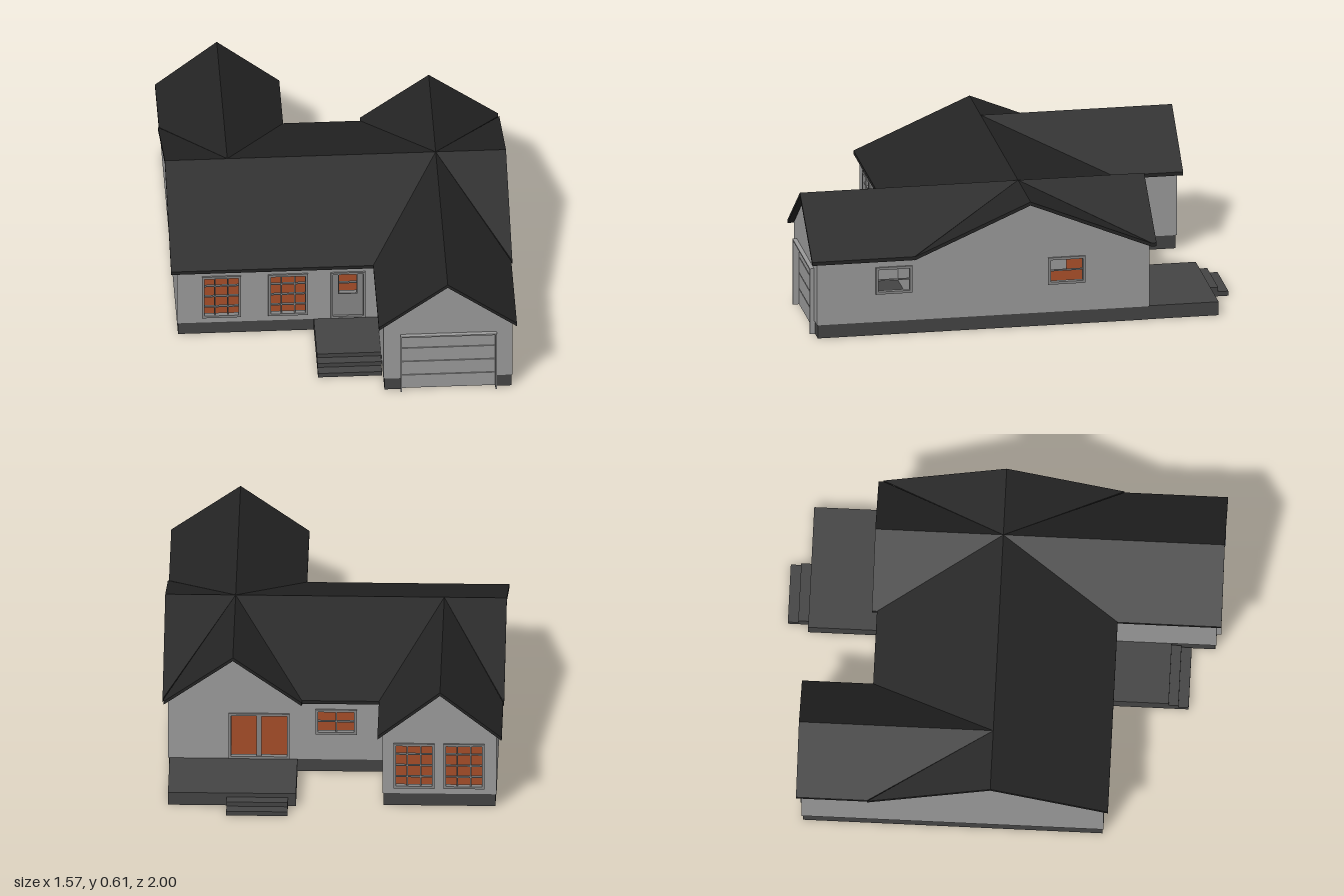
import * as THREE from 'three';

const mat = (name, color) => Object.assign(new THREE.MeshStandardMaterial({ color }), { name });

export function createModel() {
  const house = new THREE.Group();
  house.name = 'house';
  const wallMat = mat('wall grey', 0x9a9a9a);
  const trimMat = mat('trim grey', 0x868686);
  const baseMat = mat('foundation grey', 0x444444);
  const roofMat = mat('roof charcoal', 0x242424);
  const floorMat = mat('floor brown', 0x8f4222);

  // Box given by its limits on each axis
  function box(parent, name, m, x0, x1, y0, y1, z0, z1) {
    const mesh = new THREE.Mesh(new THREE.BoxGeometry(x1 - x0, y1 - y0, z1 - z0), m);
    mesh.position.set((x0 + x1) / 2, (y0 + y1) / 2, (z0 + z1) / 2);
    mesh.name = name;
    parent.add(mesh);
  }

  const rect = (Kind, [u0, u1, y0, y1]) => new Kind(
    [[u0, y0], [u1, y0], [u1, y1], [u0, y1]].map(p => new THREE.Vector2(...p)));

  // Frame with bars dividing it into columns and rows
  function frame(parent, name, [u0, u1, y0, y1], d, cols, rows, border = 0.012, bar = 0.006) {
    const g = new THREE.Group();
    g.name = name;
    const z0 = d - 0.015, z1 = d + 0.008;
    box(g, 'leftJamb', trimMat, u0, u0 + border, y0, y1, z0, z1);
    box(g, 'rightJamb', trimMat, u1 - border, u1, y0, y1, z0, z1);
    box(g, 'head', trimMat, u0 + border, u1 - border, y1 - border, y1, z0, z1);
    box(g, 'sill', trimMat, u0 + border, u1 - border, y0, y0 + border, z0, z1);
    for (let i = 1; i < cols; i++) {
      const u = u0 + (u1 - u0) * i / cols;
      box(g, 'uprightBar', trimMat, u - bar / 2, u + bar / 2, y0 + border, y1 - border, d - 0.01, d + 0.002);
    }
    for (let i = 1; i < rows; i++) {
      const y = y0 + (y1 - y0) * i / rows;
      box(g, 'crossBar', trimMat, u0 + border, u1 - border, y - bar / 2, y + bar / 2, d - 0.01, d + 0.001);
    }
    parent.add(g);
  }

  // Wall facing a direction, d away from the centre, with openings cut through
  const T = 0.014;
  function facade(name, angle, d, outline, openings = []) {
    const g = new THREE.Group();
    g.name = name;
    g.rotation.y = angle;
    const shape = new THREE.Shape(outline.map(p => new THREE.Vector2(...p)));
    shape.holes = openings.map(o => rect(THREE.Path, o));
    const mesh = new THREE.Mesh(new THREE.ExtrudeGeometry(shape, { depth: T, bevelEnabled: false }), wallMat);
    mesh.position.z = d - T;
    mesh.name = name + 'Surface';
    g.add(mesh);
    house.add(g);
    return g;
  }

  const B = 0.065, E = 0.37, P = 0.592; // wall base, eaves, gable peak
  const FRONT = 0, BACK = Math.PI, RIGHT = Math.PI / 2, LEFT = -Math.PI / 2;
  const flat = (a, b) => [[a, B], [b, B], [b, E], [a, E]];

  // Main front wall with two large windows and the entrance
  const big = [[-0.645, -0.465, 0.095, 0.33], [-0.34, -0.157, 0.095, 0.33]];
  const entry = [-0.052, 0.108, 0.07, 0.33];
  const front = facade('frontWall', FRONT, 0.5, flat(-0.76, 0.165), [...big, entry]);
  big.forEach(o => frame(front, 'frontWindow', o, 0.5, 3, 4));
  frame(front, 'doorFrame', entry, 0.5, 1, 1, 0.01);
  const light = [-0.018, 0.072, 0.205, 0.322];
  const leaf = rect(THREE.Shape, [-0.042, 0.098, 0.075, 0.325]);
  leaf.holes = [rect(THREE.Path, light)];
  const door = new THREE.Mesh(new THREE.ExtrudeGeometry(leaf, { depth: 0.01, bevelEnabled: false }), trimMat);
  door.position.z = 0.487;
  door.name = 'frontDoor';
  front.add(door);
  frame(front, 'doorWindow', light, 0.495, 1, 2, 0.005);

  // Garage gable and sectional door
  const gd = 0.975;
  const garage = facade('garageWall', FRONT, gd, [
    [0.165, B], [0.25, B], [0.25, 0.31], [0.68, 0.31], [0.68, B], [0.76, B], [0.76, E], [0.46, P], [0.165, E]]);
  for (let i = 0; i < 4; i++)
    box(garage, 'garageDoorPanel', wallMat, 0.25, 0.68, 0.003 + i * 0.077, 0.076 + i * 0.077, gd - 0.018, gd - 0.008);
  box(garage, 'garageDoorBacking', trimMat, 0.25, 0.68, 0, 0.31, gd - 0.022, gd - 0.014);
  for (const x of [0.243, 0.68])
    box(garage, 'garageJamb', wallMat, x, x + 0.007, 0, 0.317, gd - 0.015, gd + 0.02);
  box(garage, 'garageHead', wallMat, 0.243, 0.687, 0.31, 0.317, gd - 0.015, gd + 0.02);
  facade('garageInnerWall', LEFT, -0.165, flat(0.49, 0.97));

  // Side walls, gabled over the main ridge
  const small = [[-0.7, -0.53, 0.2, 0.33], [0.105, 0.28, 0.2, 0.33]];
  const right = facade('sideWallEast', RIGHT, 0.76,
    [[-0.975, B], [0.58, B], [0.58, E], [0.02, P], [-0.5, E], [-0.975, E]], small);
  small.forEach(o => frame(right, 'sideWindow', o, 0.76, 1, 2));
  facade('sideWallWest', LEFT, 0.76,
    [[-0.89, B], [0.5, B], [0.5, E], [-0.02, P], [-0.58, E], [-0.89, E]]);

  // Rear walls (u runs along -x)
  const patio = [-0.48, -0.2, 0.068, 0.305];
  const rear = facade('patioGable', BACK, 0.58,
    [[-0.76, B], [-0.165, B], [-0.165, E], [-0.46, P], [-0.76, E]], [patio]);
  frame(rear, 'patioDoors', patio, 0.58, 2, 1, 0.012, 0.022);
  const kitchen = [-0.08, 0.11, 0.2, 0.33];
  const middle = facade('rearWall', BACK, 0.58, flat(-0.165, 0.235), [kitchen]);
  frame(middle, 'rearWindow', kitchen, 0.58, 2, 2);
  const wingWindows = [[0.285, 0.475, 0.095, 0.33], [0.515, 0.705, 0.095, 0.33]];
  const wing = facade('rearWingGable', BACK, 0.89,
    [[0.235, B], [0.76, B], [0.76, E], [0.5, P], [0.235, E]], wingWindows);
  wingWindows.forEach(o => frame(wing, 'rearWingWindow', o, 0.89, 3, 4));
  facade('rearWingInnerWall', RIGHT, -0.235, flat(0.57, 0.89));

  // Partitions inside
  box(house, 'bedroomPartition', wallMat, -0.745, -0.35, B, 0.36, -0.11, -0.1);
  box(house, 'hallPartition', wallMat, 0.16, 0.17, B, 0.36, -0.3, 0.5);
  box(house, 'garagePartition', wallMat, 0.17, 0.745, B, 0.36, 0.48, 0.49);

  // Foundation and floors
  box(house, 'mainFoundation', baseMat, -0.755, 0.755, 0, B, -0.575, 0.495);
  box(house, 'rearWingFoundation', baseMat, -0.755, -0.24, 0, B, -0.885, -0.575);
  box(house, 'garageFoundation', baseMat, 0.17, 0.755, 0, B, 0.495, 0.95);
  box(house, 'garageFooting', baseMat, 0.17, 0.243, 0, B, 0.95, 0.97);
  box(house, 'garageFooting', baseMat, 0.687, 0.755, 0, B, 0.95, 0.97);
  box(house, 'mainFloor', floorMat, -0.745, 0.745, B, B + 0.003, -0.565, 0.485);
  box(house, 'rearWingFloor', floorMat, -0.745, -0.25, B, B + 0.003, -0.875, -0.565);

  // Porch, rear deck and their steps
  box(house, 'porch', baseMat, -0.13, 0.17, 0, B, 0.495, 0.77);
  box(house, 'porchStep', baseMat, -0.13, 0.165, 0, 0.044, 0.77, 0.815);
  box(house, 'porchStep', baseMat, -0.13, 0.165, 0, 0.022, 0.815, 0.862);
  box(house, 'deck', baseMat, 0.163, 0.752, 0, B, -0.905, -0.575);
  box(house, 'deckStep', baseMat, 0.2, 0.482, 0, 0.044, -0.952, -0.905);
  box(house, 'deckStep', baseMat, 0.2, 0.482, 0, 0.022, -1, -0.952);

  // Roof slope: outline of [x, z] ridge points followed by eave points
  function slope(name, ridge, eave) {
    const at = (y) => ([x, z]) => new THREE.Vector3(x, y, z);
    let top = [...ridge.map(at(0.612)), ...eave.map(at(0.378))];
    const n = top[1].clone().sub(top[0]).cross(top[2].clone().sub(top[0]));
    if (n.y < 0) top = top.reverse();
    const low = top.map(p => p.clone().setY(p.y - 0.017));
    const tris = [], N = top.length;
    for (let i = 1; i < N - 1; i++) tris.push(top[0], top[i], top[i + 1], low[0], low[i + 1], low[i]);
    for (let i = 0; i < N; i++) {
      const j = (i + 1) % N;
      tris.push(top[i], low[i], low[j], top[i], low[j], top[j]);
    }
    const geo = new THREE.BufferGeometry().setFromPoints(tris);
    geo.computeVertexNormals();
    const mesh = new THREE.Mesh(geo, roofMat);
    mesh.name = name;
    house.add(mesh);
  }

  const Z = -0.02, F = 0.522, R = -0.587, W = -0.788, X = 0.784;
  const A = [-0.5, Z], C = [0.46, Z]; // where the wing ridges meet the main ridge
  slope('mainRoofFront', [[W, Z], C], [[0.143, F], [W, F]]);
  slope('mainRoofRear', [A, C], [[0.143, R], [-0.212, R]]);
  slope('westGableRoof', [[W, Z], A], [[W, R]]);
  slope('eastGableRoofFront', [C, [X, Z]], [[X, F]]);
  slope('eastGableRoofRear', [C, [X, Z]], [[X, R]]);
  for (const x of [0.143, X - 0.005]) {
    slope('garageRoof', [C, [0.46, 1]], [[x, 1], [x, F]]);
    slope('patioRoof', [C, [0.46, -0.61]], [[x, -0.61], [x, R]]);
  }
  for (const x of [-0.212, W + 0.004])
    slope('rearWingRoof', [A, [-0.5, -0.915]], [[x, -0.915], [x, R]]);

  return house;
}
